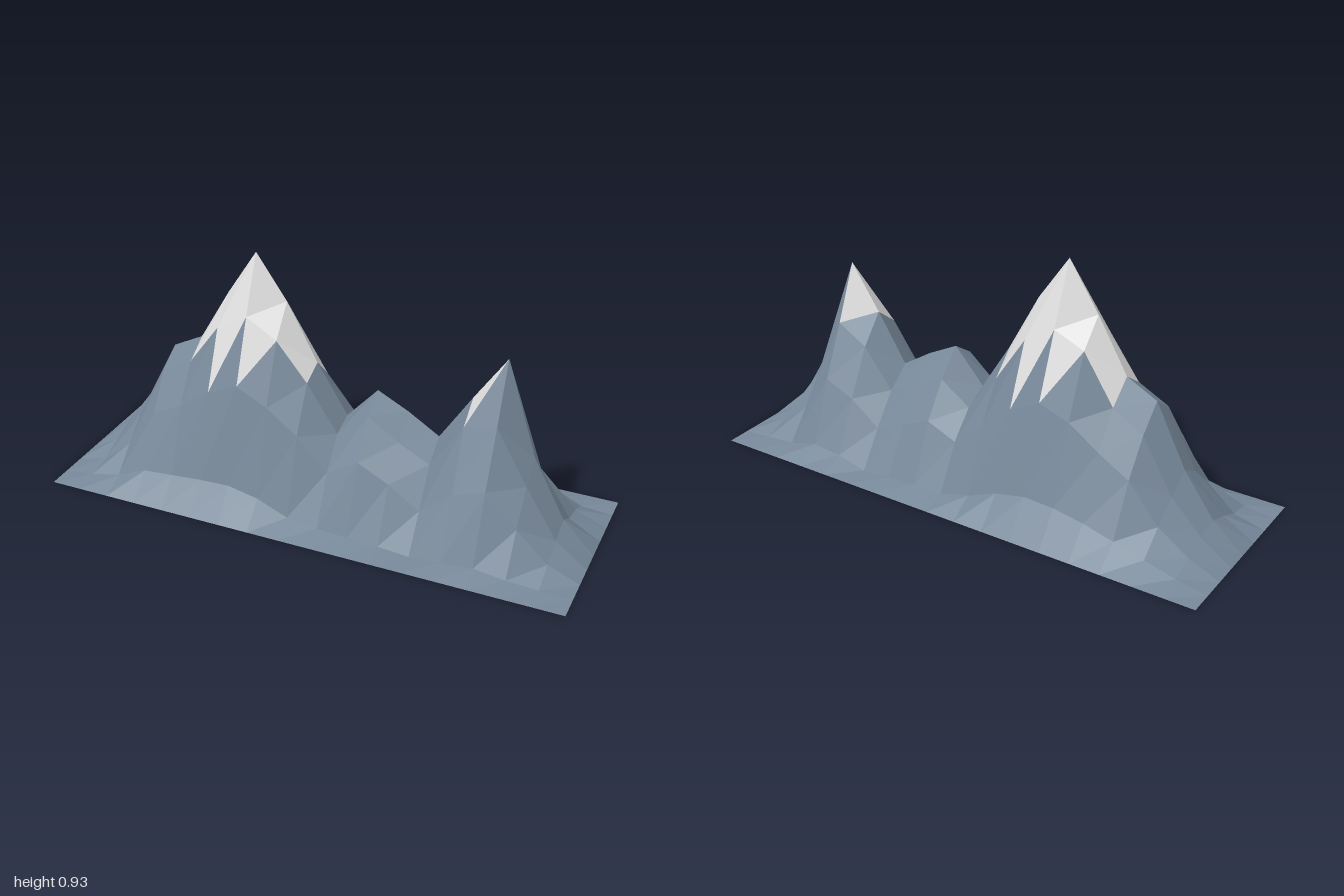
import * as THREE from 'three';

const DEPTH = 0.366;      // half depth of the range
const SNOW_LINE = 0.555;  // mean facet height above which snow lies

// Height profiles along x, one for each row from back to front (outer rim is 0)
const PROFILES = [
  [.02, .05, .08, .11, .13, .135, .11, .06, .03, .03, .02, .01, .04, .05, .02, .01],
  [.05, .13, .27, .34, .42, .46, .40, .30, .20, .25, .20, .15, .24, .29, .135, .05],
  [.08, .20, .40, .47, .65, .70, .63, .45, .30, .38, .33, .27, .42, .49, .25, .07],
  [.10, .26, .49, .55, .75, .93, .76, .54, .35, .48, .42, .345, .53, .705, .34, .12],
  [.07, .21, .43, .49, .65, .715, .645, .50, .32, .42, .34, .28, .46, .485, .28, .09],
  [.03, .13, .29, .35, .43, .48, .42, .33, .21, .28, .22, .14, .24, .28, .16, .05],
  [.015, .04, .09, .10, .11, .115, .09, .04, .025, .02, .015, .005, .015, .025, .01, .005],
];
const COLS = PROFILES[0].length + 1;
const ROWS = PROFILES.length + 1;

// Grid point of the terrain
function point(i, j) {
  const y = PROFILES[j - 1]?.[i - 1] ?? 0;
  return [-1 + (2 * i) / COLS, y, -DEPTH + (2 * DEPTH * j) / ROWS];
}

function facetMesh(name, positions, material) {
  const geometry = new THREE.BufferGeometry();
  geometry.setAttribute('position', new THREE.Float32BufferAttribute(positions, 3));
  geometry.computeVertexNormals();
  const mesh = new THREE.Mesh(geometry, material);
  mesh.name = name;
  return mesh;
}

export function createModel() {
  const rock = new THREE.MeshStandardMaterial({ color: 0x778899, flatShading: true, side: THREE.DoubleSide });
  rock.name = 'slate rock';
  const snow = new THREE.MeshStandardMaterial({ color: 0xdddddd, flatShading: true, side: THREE.DoubleSide });
  snow.name = 'snow';

  // Sort every facet into rock slopes or snow caps by its mean height
  const rockFacets = [];
  const snowFacets = [];
  for (let j = 0; j < ROWS; j++) {
    for (let i = 0; i < COLS; i++) {
      const a = point(i, j), b = point(i, j + 1);
      const c = point(i + 1, j + 1), d = point(i + 1, j);
      for (const tri of [[a, b, d], [b, c, d]]) {
        const mean = (tri[0][1] + tri[1][1] + tri[2][1]) / 3;
        (mean > SNOW_LINE ? snowFacets : rockFacets).push(...tri.flat());
      }
    }
  }

  const group = new THREE.Group();
  group.name = 'mountainRange';
  group.add(facetMesh('rockSlopes', rockFacets, rock));
  group.add(facetMesh('snowCaps', snowFacets, snow));
  return group;
}
